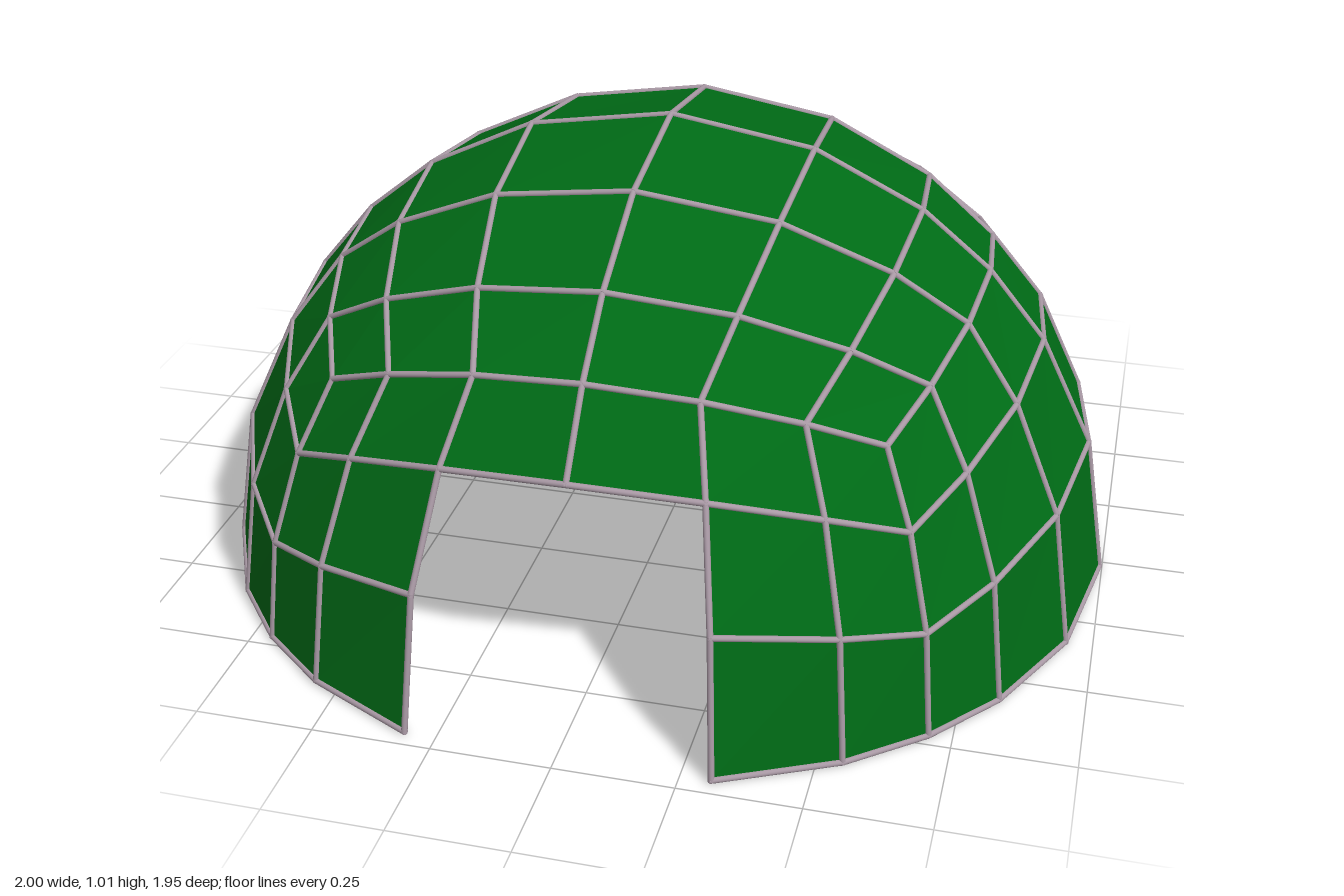
import * as THREE from 'three';
import { mergeGeometries } from 'three/addons/utils/BufferGeometryUtils.js';

const N = 3;            // panels from the middle of a side to its corner
const STRUT = 0.0065;   // strut radius
const R = 1 - STRUT;    // dome radius
const CENTRE = new THREE.Vector3(0, STRUT, 0.026);

// Corner of the panel grid on one side of a cube, pushed out to the sphere
function domePoint(u, v, turn) {
  return new THREE.Vector3(u, v, N).applyEuler(turn).normalize().multiplyScalar(R).add(CENTRE);
}

// Thin bar between two points, lengthened slightly so the joints close
function strut(a, b) {
  const dir = b.clone().sub(a);
  const geo = new THREE.CylinderGeometry(STRUT, STRUT, dir.length() + STRUT, 16);
  const q = new THREE.Quaternion().setFromUnitVectors(new THREE.Vector3(0, 1, 0), dir.normalize());
  const mid = a.clone().add(b).multiplyScalar(0.5);
  return geo.applyMatrix4(new THREE.Matrix4().compose(mid, q, new THREE.Vector3(1, 1, 1)));
}

export function createModel() {
  const green = new THREE.MeshStandardMaterial({ color: 0x006b16, side: THREE.DoubleSide, flatShading: true });
  green.name = 'green panel';
  const grey = new THREE.MeshStandardMaterial({ color: 0xa898a4 });
  grey.name = 'grey strut';

  const group = new THREE.Group();
  group.name = 'dome';
  const struts = new Map();

  // Four half-height walls and a full roof
  const sides = [
    ['frontPanels', new THREE.Euler(0, 0, 0), 0],
    ['leftPanels', new THREE.Euler(0, Math.PI / 2, 0), 0],
    ['backPanels', new THREE.Euler(0, Math.PI, 0), 0],
    ['rightPanels', new THREE.Euler(0, -Math.PI / 2, 0), 0],
    ['roofPanels', new THREE.Euler(-Math.PI / 2, 0, 0), -N],
  ];

  for (const [name, turn, vStart] of sides) {
    const positions = [];
    for (let u = -N; u < N; u++) {
      for (let v = vStart; v < N; v++) {
        // Doorway: two panels wide and two high
        if (name === 'frontPanels' && u >= -1 && u < 1 && v < 2) continue;
        const c = [[u, v], [u + 1, v], [u + 1, v + 1], [u, v + 1]].map(([a, b]) => domePoint(a, b, turn));
        for (const i of [0, 1, 2, 0, 2, 3]) positions.push(...c[i].toArray());

        // Each shared panel edge gets one strut
        c.forEach((a, i) => {
          const b = c[(i + 1) % 4];
          const key = [a, b].map((p) => p.toArray().map((n) => Math.round(n * 1000)).join()).sort().join('|');
          if (!struts.has(key)) struts.set(key, strut(a, b));
        });
      }
    }
    const geo = new THREE.BufferGeometry();
    geo.setAttribute('position', new THREE.Float32BufferAttribute(positions, 3));
    geo.computeVertexNormals();
    const panels = new THREE.Mesh(geo, green);
    panels.name = name;
    group.add(panels);
  }

  const frame = new THREE.Mesh(mergeGeometries([...struts.values()]), grey);
  frame.name = 'strutFrame';
  group.add(frame);
  return group;
}
